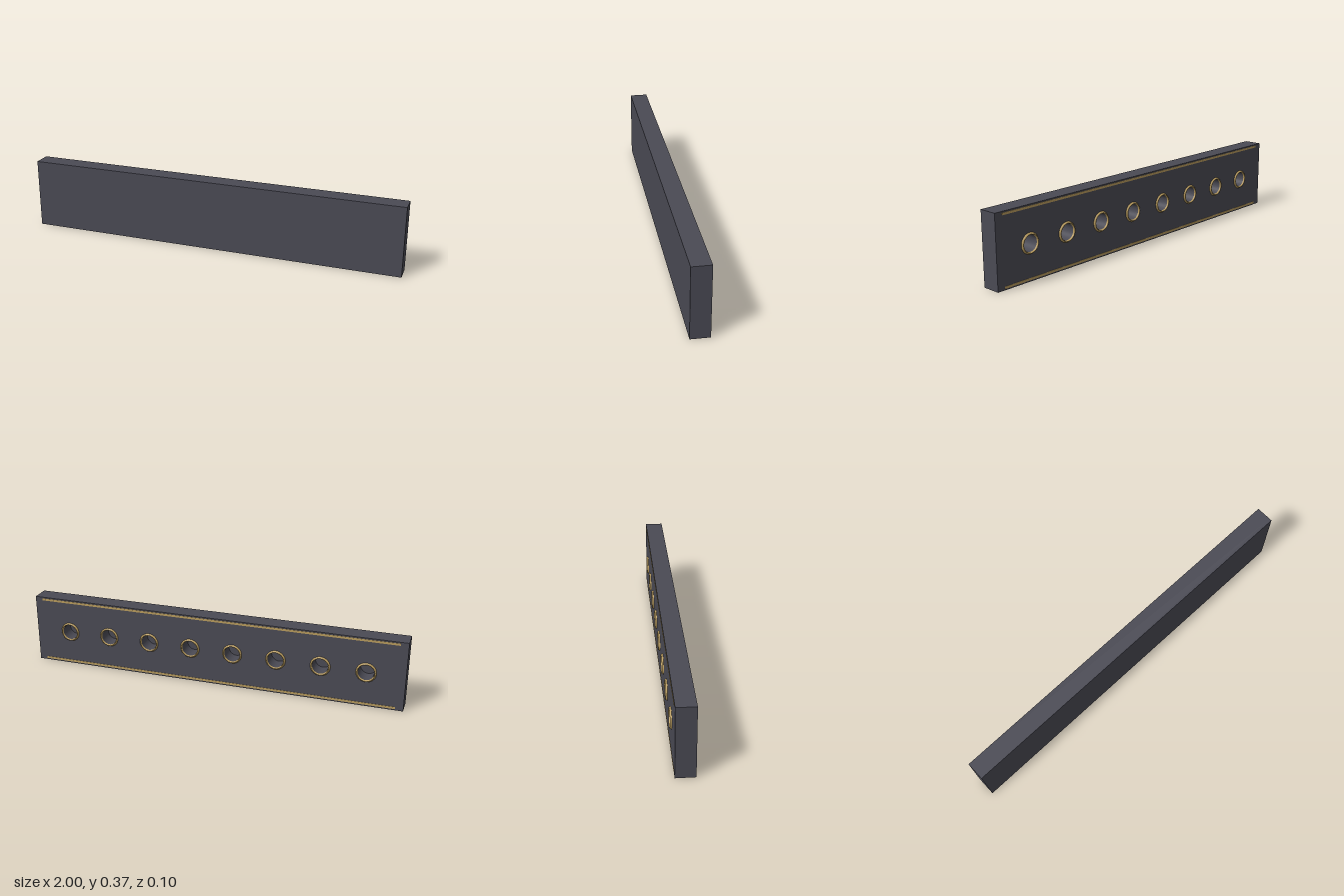
import * as THREE from 'three';

const W = 2, H = 0.367, FRONT = 0.052, BACK = -0.043;
const FLOOR = 0.037; // z of the socket floors
const SOCKETS = 8, PITCH = 0.23, HOLE_R = 0.041;

export function createModel() {
  const model = new THREE.Group();
  const dark = new THREE.MeshStandardMaterial({ color: 0x4a4a54 });
  const gold = new THREE.MeshStandardMaterial({ color: 0xb89b5e });

  const add = (name, geometry, material, x, y, z) => {
    const mesh = new THREE.Mesh(geometry, material);
    mesh.name = name;
    mesh.position.set(x, y, z);
    model.add(mesh);
    return mesh;
  };
  const centres = Array.from({ length: SOCKETS }, (_, i) => (i - (SOCKETS - 1) / 2) * PITCH);

  // Solid front panel, which also closes the sockets
  add('frontPanel', new THREE.BoxGeometry(W, H, FRONT - FLOOR), dark, 0, H / 2, (FRONT + FLOOR) / 2);

  // Rear block pierced by a row of round sockets
  const outline = new THREE.Shape();
  outline.moveTo(-W / 2, -H / 2).lineTo(W / 2, -H / 2).lineTo(W / 2, H / 2).lineTo(-W / 2, H / 2).closePath();
  for (const x of centres) {
    outline.holes.push(new THREE.Path().absarc(x, 0, HOLE_R, 0, Math.PI * 2, true));
  }
  const block = new THREE.ExtrudeGeometry(outline, { depth: FLOOR - BACK, bevelEnabled: false, curveSegments: 32 });
  add('socketBlock', block, dark, 0, H / 2, BACK);

  // Bevelled rim around every socket
  const profile = [[0.052, 0], [0.047, 0.0085], [0.043, 0.0085], [0.041, 0]].map(p => new THREE.Vector2(...p));
  const rim = new THREE.LatheGeometry(profile, 32);
  rim.rotateX(-Math.PI / 2);
  const rimGold = gold.clone();
  rimGold.side = THREE.DoubleSide;
  for (const x of centres) add('socketRim', rim, rimGold, x, H / 2, BACK);

  // Thin trim strips along the upper and lower rear edges
  const strip = new THREE.BoxGeometry(1.92, 0.011, 0.004);
  for (const side of [-1, 1]) add('trimStrip', strip, gold, 0, H / 2 + side * 0.171, BACK + 0.0005);

  return model;
}
